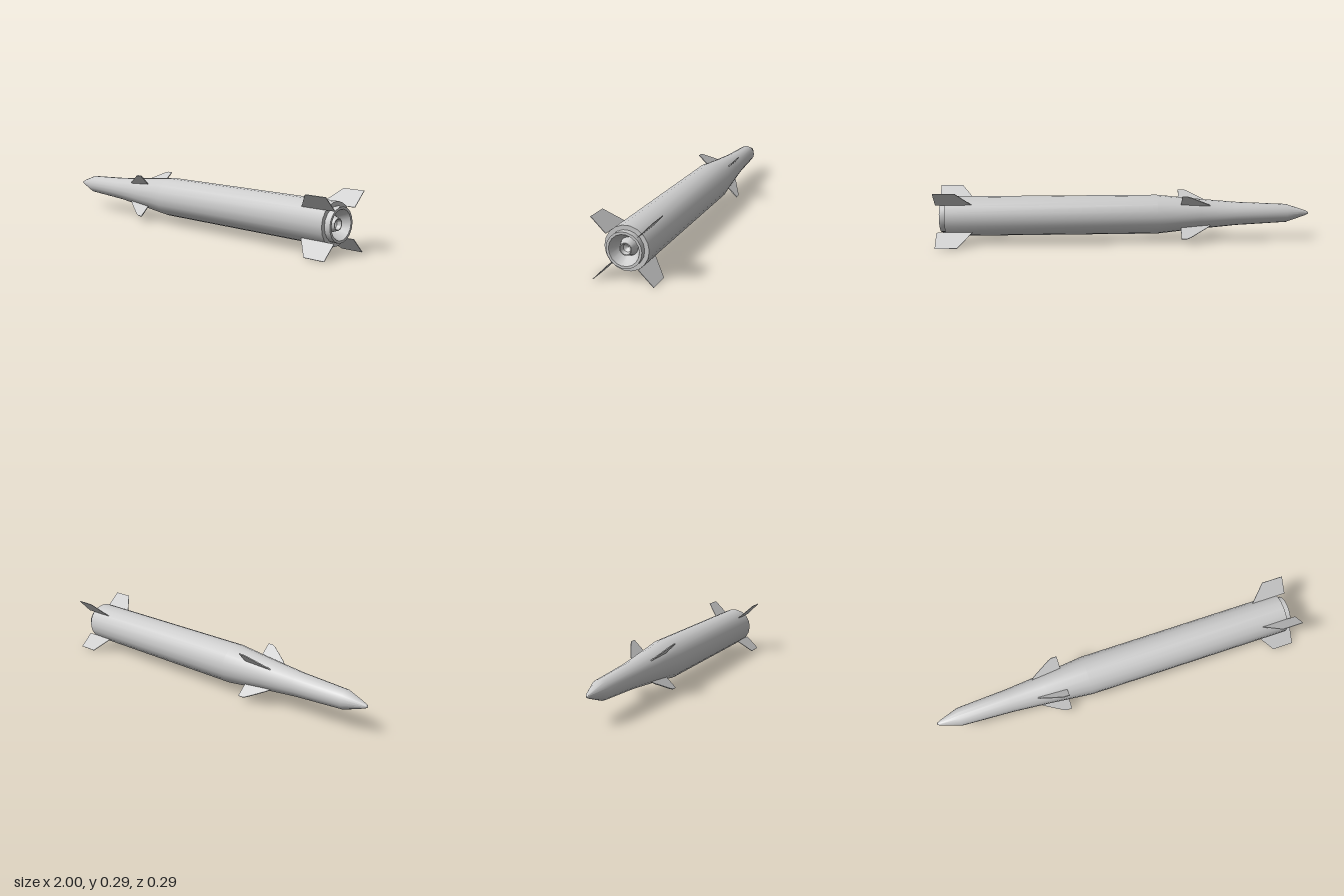
import * as THREE from 'three';
import { toCreasedNormals } from 'three/addons/utils/BufferGeometryUtils.js';

const AXIS_Y = 0.146; // height of the body axis
const material = new THREE.MeshStandardMaterial({ color: 0xcccccc });

// Revolve [x, radius] pairs around the long axis
function revolve(name, profile, sides = 18) {
  const points = profile.map(([x, r]) => new THREE.Vector2(r, x));
  let geometry = new THREE.LatheGeometry(points, sides);
  geometry.rotateZ(-Math.PI / 2);
  geometry = toCreasedNormals(geometry, 0.5);
  const mesh = new THREE.Mesh(geometry, material);
  mesh.name = name;
  return mesh;
}

// Four thin plates set diagonally around the axis, outline in [x, radius]
function finSet(name, outline, thickness) {
  const set = new THREE.Group();
  set.name = name + 's';
  const shape = new THREE.Shape(outline.map(([x, r]) => new THREE.Vector2(x, r)));
  const geometry = new THREE.ExtrudeGeometry(shape, { depth: thickness, bevelEnabled: false });
  geometry.translate(0, 0, -thickness / 2);
  for (let i = 0; i < 4; i++) {
    const fin = new THREE.Mesh(geometry, material);
    fin.name = name;
    fin.rotation.x = Math.PI / 4 + i * Math.PI / 2;
    set.add(fin);
  }
  return set;
}

export function createModel() {
  const missile = new THREE.Group();
  missile.name = 'missile';
  const assembly = new THREE.Group();
  assembly.name = 'assembly';
  assembly.position.y = AXIS_Y;
  missile.add(assembly);

  // Blunt nose, flared forebody, straight motor section and rear shoulder
  assembly.add(revolve('body', [
    [-1, 0], [-0.995, 0.007], [-0.98, 0.014], [-0.875, 0.049],
    [-0.6, 0.063], [-0.4, 0.081], [-0.17, 0.105], [0.952, 0.106], [0.952, 0.085],
  ]));

  // Tail ring with its conical recess
  assembly.add(revolve('tailRing', [
    [0.952, 0.085], [0.982, 0.085], [0.982, 0.073], [0.925, 0.043],
  ]));

  // Tapered nozzle with a hollow mouth
  assembly.add(revolve('nozzle', [
    [0.925, 0.043], [0.965, 0.029], [0.965, 0.025], [0.945, 0.019], [0.932, 0],
  ]));

  // Swept forward fins, following the flare of the body
  assembly.add(finSet('forwardFin', [
    [-0.46, 0.07], [-0.295, 0.085], [-0.295, 0.161], [-0.325, 0.161], [-0.345, 0.152], [-0.44, 0.09],
  ], 0.005));

  // Larger tail fins, overhanging the shoulder
  assembly.add(finSet('tailFin', [
    [0.81, 0.103], [1, 0.105], [1, 0.204], [0.885, 0.204],
  ], 0.003));

  return missile;
}
